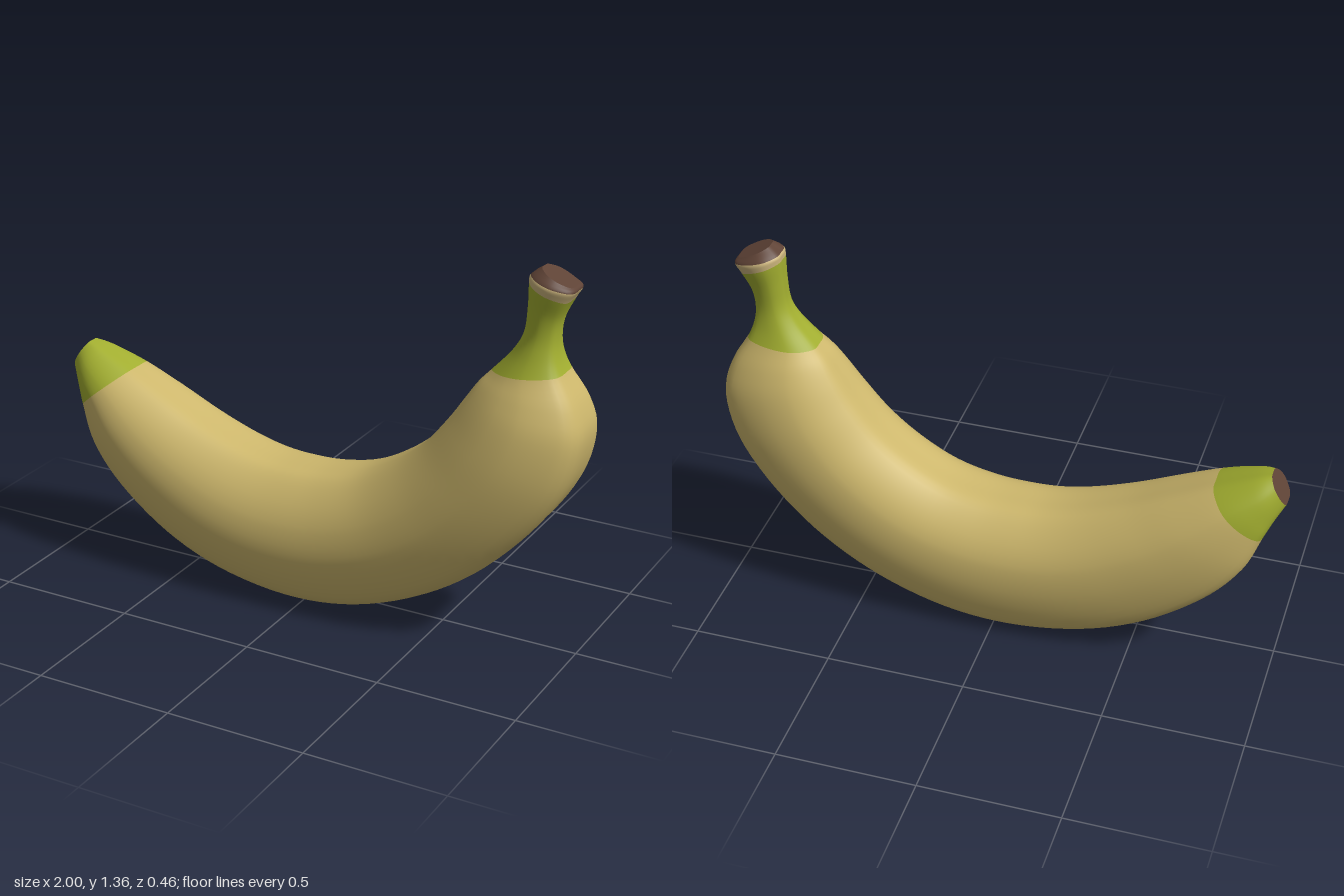
import * as THREE from 'three';

const paint = (name, color) => {
  const m = new THREE.MeshStandardMaterial({ color });
  m.name = name;
  return m;
};

// Sections from blossom tip to stem: inner edge x, y, outer edge x, y, half width
const SECTIONS = [
  [-0.94, 0.78, -1.0, 0.68, 0.06],
  [-0.88, 0.762, -0.965, 0.615, 0.105],
  [-0.75, 0.71, -0.937, 0.555, 0.15],
  [-0.6, 0.64, -0.88, 0.42, 0.19],
  [-0.45, 0.57, -0.76, 0.28, 0.212],
  [-0.3, 0.515, -0.56, 0.135, 0.224],
  [-0.18, 0.487, -0.33, 0.04, 0.229],
  [-0.07, 0.48, -0.07, 0.0, 0.23],
  [0.06, 0.487, 0.18, 0.022, 0.23],
  [0.2, 0.52, 0.43, 0.11, 0.23],
  [0.33, 0.59, 0.65, 0.25, 0.23],
  [0.44, 0.68, 0.83, 0.43, 0.226],
  [0.53, 0.79, 0.95, 0.61, 0.213],
  [0.59, 0.88, 0.998, 0.78, 0.185],
  [0.63, 0.94, 0.975, 0.9, 0.148],
  [0.67, 0.985, 0.914, 1.005, 0.105],
  [0.735, 1.06, 0.89, 1.07, 0.076],
  [0.772, 1.13, 0.885, 1.13, 0.061],
  [0.782, 1.22, 0.895, 1.19, 0.063],
  [0.785, 1.305, 0.925, 1.255, 0.078],
  [0.79, 1.33, 0.945, 1.29, 0.08],
  [0.825, 1.356, 0.937, 1.305, 0.055],
];
const STEPS = 5; // rings per section
const SIDES = 50;

// Ridged cross-section: sideways (-1..1), then outer (0) to inner (1) edge
const RIDGES = new THREE.CatmullRomCurve3(
  [[-0.1, 0], [-0.75, 0.07], [-0.97, 0.4], [-0.92, 0.7], [-0.47, 0.97], [0, 1],
    [0.47, 0.97], [0.92, 0.7], [1, 0.43], [0.68, 0.07]]
    .map(([s, t]) => new THREE.Vector3(s, t, 0)), true);

// Smooth interpolation of one section value between four neighbours
const spline = (a, b, c, d, t) => 0.5 * (2 * b + (c - a) * t
  + (2 * a - 5 * b + 4 * c - d) * t * t + (3 * b - a - 3 * c + d) * t * t * t);

function sectionAt(u) {
  const last = SECTIONS.length - 1;
  const i = Math.min(Math.floor(u), last - 1);
  const at = k => SECTIONS[Math.max(0, Math.min(last, k))];
  return SECTIONS[i].map((_, k) =>
    spline(at(i - 1)[k], at(i)[k], at(i + 1)[k], at(i + 2)[k], u - i));
}

function ringAt(u) {
  const [ix, iy, ox, oy, w] = sectionAt(u);
  return Array.from({ length: SIDES }, (_, j) => {
    const p = RIDGES.getPoint(j / SIDES);
    return [ox + (ix - ox) * p.y, oy + (iy - oy) * p.y, w * p.x];
  });
}

function geometryFrom(points, index) {
  const g = new THREE.BufferGeometry();
  g.setAttribute('position', new THREE.Float32BufferAttribute(points.flat(), 3));
  g.setIndex(index);
  g.computeVertexNormals();
  return g;
}

// Skin over all sections; each colour band is a group ending at a section
function skinGeometry(bandEnds) {
  const rings = (SECTIONS.length - 1) * STEPS;
  const points = [], index = [];
  for (let i = 0; i <= rings; i++) points.push(...ringAt(i / STEPS));
  for (let i = 0; i < rings; i++) {
    for (let j = 0; j < SIDES; j++) {
      const a = i * SIDES + j, b = i * SIDES + (j + 1) % SIDES;
      index.push(a, b, a + SIDES, b, b + SIDES, a + SIDES);
    }
  }
  const g = geometryFrom(points, index);
  let start = 0;
  bandEnds.forEach((end, k) => {
    const stop = end * STEPS * SIDES * 6;
    g.addGroup(start, stop - start, k);
    start = stop;
  });
  return g;
}

// Flat cut closing one end
function cutGeometry(u, flip) {
  const ring = ringAt(u);
  const centre = [0, 1, 2].map(k => ring.reduce((sum, p) => sum + p[k], 0) / SIDES);
  const index = [];
  for (let j = 0; j < SIDES; j++) {
    const n = (j + 1) % SIDES;
    index.push(SIDES, flip ? n : j, flip ? j : n);
  }
  return geometryFrom([...ring, centre], index);
}

export function createModel() {
  const yellow = paint('ripe peel', 0xcdb76c);
  const green = paint('unripe green', 0xa2ae30);
  const pale = paint('pale stem rim', 0xcbb47c);
  const brown = paint('dry brown', 0x5f4336);

  const group = new THREE.Group();
  group.name = 'banana';
  const add = (name, geometry, material) => {
    const mesh = new THREE.Mesh(geometry, material);
    mesh.name = name;
    group.add(mesh);
  };

  // Green tip, yellow body, green stem, pale rim and brown stem edge
  const last = SECTIONS.length - 1;
  add('peel', skinGeometry([2, 15, 19, 20, last]), [green, yellow, green, pale, brown]);
  add('blossomEnd', cutGeometry(0, true), brown);
  add('stemCut', cutGeometry(last, false), brown);
  return group;
}
